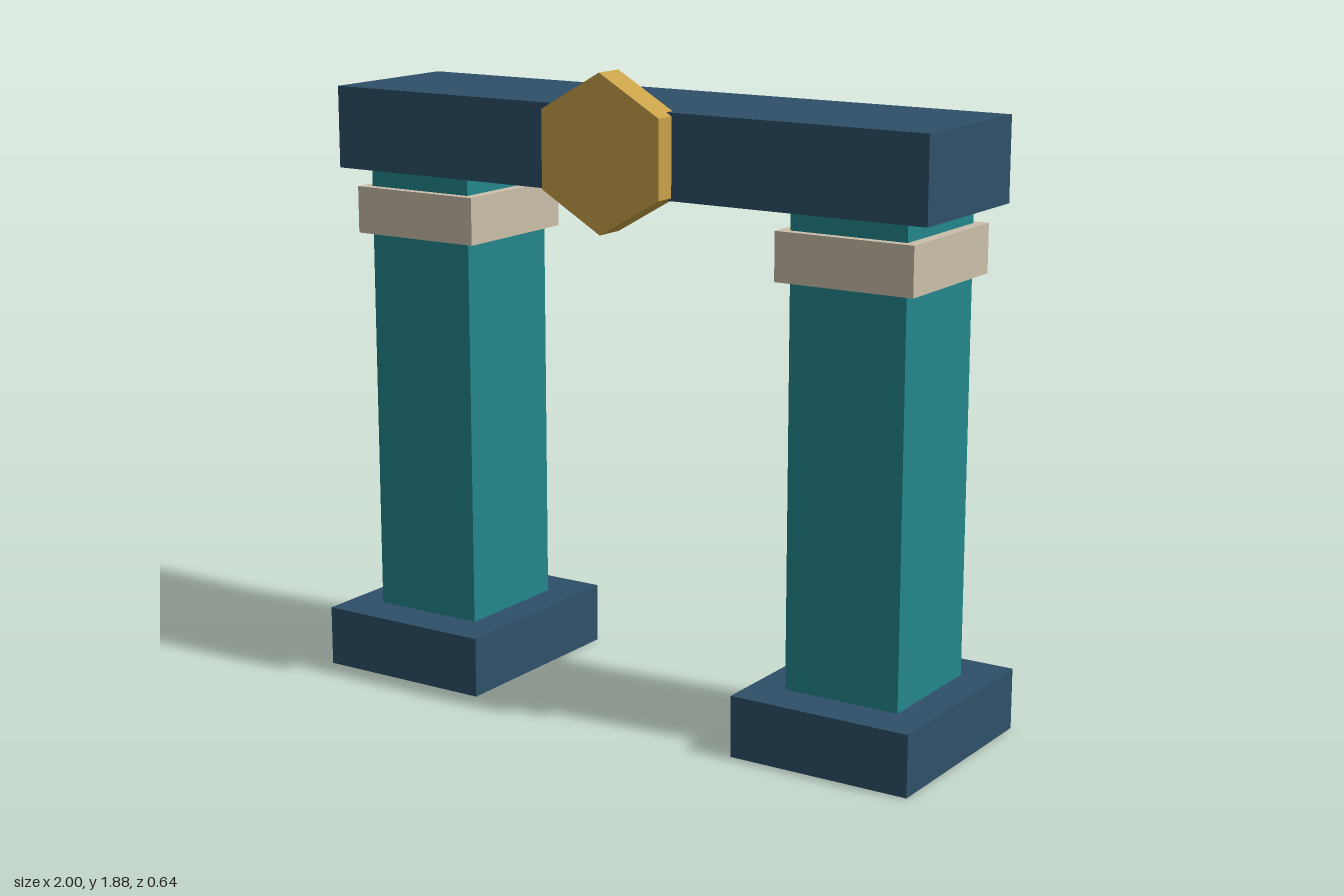
import * as THREE from 'three';

const material = (name, color) => {
  const m = new THREE.MeshStandardMaterial({ color });
  m.name = name;
  return m;
};

export function createModel() {
  const navy = material('navy', 0x2e5068);
  const teal = material('teal', 0x23878c);
  const stone = material('stone', 0xcabfaa);
  const gold = material('gold', 0xc9a24a);

  const gate = new THREE.Group();
  gate.name = 'gateway';

  // Box given by its width, bottom, top and depth
  const block = (parent, name, mat, width, bottom, top, depth) => {
    const mesh = new THREE.Mesh(new THREE.BoxGeometry(width, top - bottom, depth), mat);
    mesh.name = name;
    mesh.position.y = (bottom + top) / 2;
    parent.add(mesh);
  };

  // Pillars: plinth, shaft and collar on each side
  for (const [side, sign] of [['left', 1], ['right', -1]]) {
    const pillar = new THREE.Group();
    pillar.name = side + 'Pillar';
    pillar.position.x = sign * 0.7225;
    block(pillar, side + 'Plinth', navy, 0.555, 0, 0.18, 0.636);
    block(pillar, side + 'Shaft', teal, 0.355, 0.18, 1.535, 0.38);
    block(pillar, side + 'Collar', stone, 0.422, 1.34, 1.48, 0.434);
    gate.add(pillar);
  }

  // Lintel across both pillars
  block(gate, 'lintel', navy, 1.964, 1.535, 1.778, 0.478);

  // Hexagonal keystone, point up, set into the front of the lintel
  const keystone = new THREE.Mesh(
    new THREE.CylinderGeometry(0.225, 0.225, 0.095, 6).toNonIndexed(), gold);
  keystone.geometry.computeVertexNormals();
  keystone.name = 'keystone';
  keystone.rotation.x = Math.PI / 2;
  keystone.position.set(0, 1.656, 0.255);
  gate.add(keystone);

  return gate;
}
